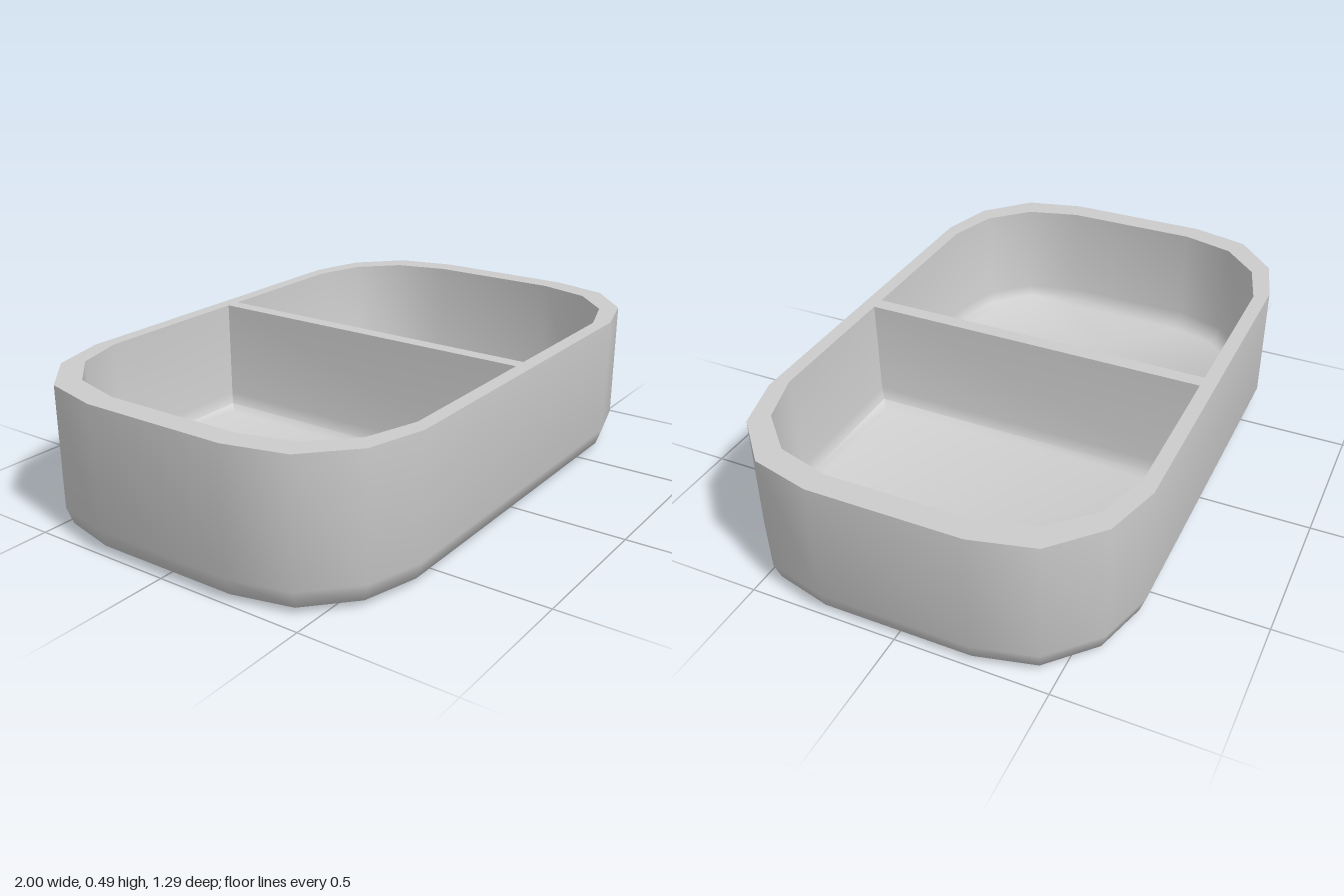
import * as THREE from 'three';
import { toCreasedNormals } from 'three/addons/utils/BufferGeometryUtils.js';

const HEIGHT = 0.485;
const material = new THREE.MeshStandardMaterial({ color: 0xcccccc });

// One rounded corner each: x, z and the direction used to inset the point
const OUTER = [[1, 0.25, 1, 0.15], [0.95, 0.45, 0.88, 0.5], [0.8, 0.59, 0.45, 0.9], [0.61, 0.643, 0.12, 1]];
const INNER = [[0.92, 0.235, 1, 0.15], [0.87, 0.415, 0.85, 0.55], [0.745, 0.54, 0.45, 0.85], [0.57, 0.595, 0.12, 1]];

const flipX = pts => pts.map(([x, z, nx, nz]) => [-x, z, -nx, nz]).reverse();
const flipZ = pts => pts.map(([x, z, nx, nz]) => [x, -z, nx, -nz]).reverse();

// Closed outlines, all running from +x towards +z
const right = [...flipZ(OUTER), ...OUTER];
const outline = [...right, ...flipX(flipZ(right))];
function pocketOutline(side) {
  const divider = side > 0 ? 0.05 : 0;
  const half = [...INNER, [divider, 0.595, -1, 1]];
  const loop = [...flipZ(half), ...half];
  return side > 0 ? loop : flipX(loop);
}

// Skin a stack of inset outlines and close the last or first one with a fan
function loft(loop, levels, capFirst) {
  const n = loop.length, pos = [], index = [];
  for (const [y, inset] of levels)
    for (const [x, z, nx, nz] of loop) pos.push(x - nx * inset, y, z - nz * inset);
  for (let k = 0; k < levels.length - 1; k++)
    for (let i = 0; i < n; i++) {
      const j = (i + 1) % n, a = k * n, b = a + n;
      index.push(a + i, b + i, b + j, a + i, b + j, a + j);
    }
  const ring = capFirst ? 0 : (levels.length - 1) * n;
  const cx = loop.reduce((sum, p) => sum + p[0], 0) / n;
  const centre = pos.length / 3;
  pos.push(cx, levels[capFirst ? 0 : levels.length - 1][0], 0);
  for (let i = 0; i < n; i++) {
    const j = (i + 1) % n;
    if (capFirst) index.push(centre, ring + i, ring + j);
    else index.push(centre, ring + j, ring + i);
  }
  const geometry = new THREE.BufferGeometry();
  geometry.setAttribute('position', new THREE.Float32BufferAttribute(pos, 3));
  geometry.setIndex(index);
  return toCreasedNormals(geometry, 0.98);
}

export function createModel() {
  const group = new THREE.Group();
  const add = (name, geometry) => {
    const mesh = new THREE.Mesh(geometry, material);
    mesh.name = name;
    group.add(mesh);
  };

  // Outer wall with a softened bottom edge
  add('outerShell', loft(outline, [[0, 0.08], [0.022, 0.02], [0.08, 0], [HEIGHT, 0]], true));

  // Two compartments on either side of the divider, filleted at the floor
  const left = pocketOutline(-1), rightPocket = pocketOutline(1);
  const levels = [[HEIGHT, 0], [0.15, 0.008], [0.11, 0.02], [0.09, 0.045]];
  add('leftCompartment', loft(left, levels, false));
  add('rightCompartment', loft(rightPocket, levels, false));

  // Flat rim and divider top
  const points = loop => loop.map(([x, z]) => new THREE.Vector2(x, -z));
  const shape = new THREE.Shape(points(outline));
  shape.holes.push(new THREE.Path(points(left)), new THREE.Path(points(rightPocket)));
  add('rimAndDividerTop', new THREE.ShapeGeometry(shape).rotateX(-Math.PI / 2).translate(0, HEIGHT, 0));

  return group;
}
